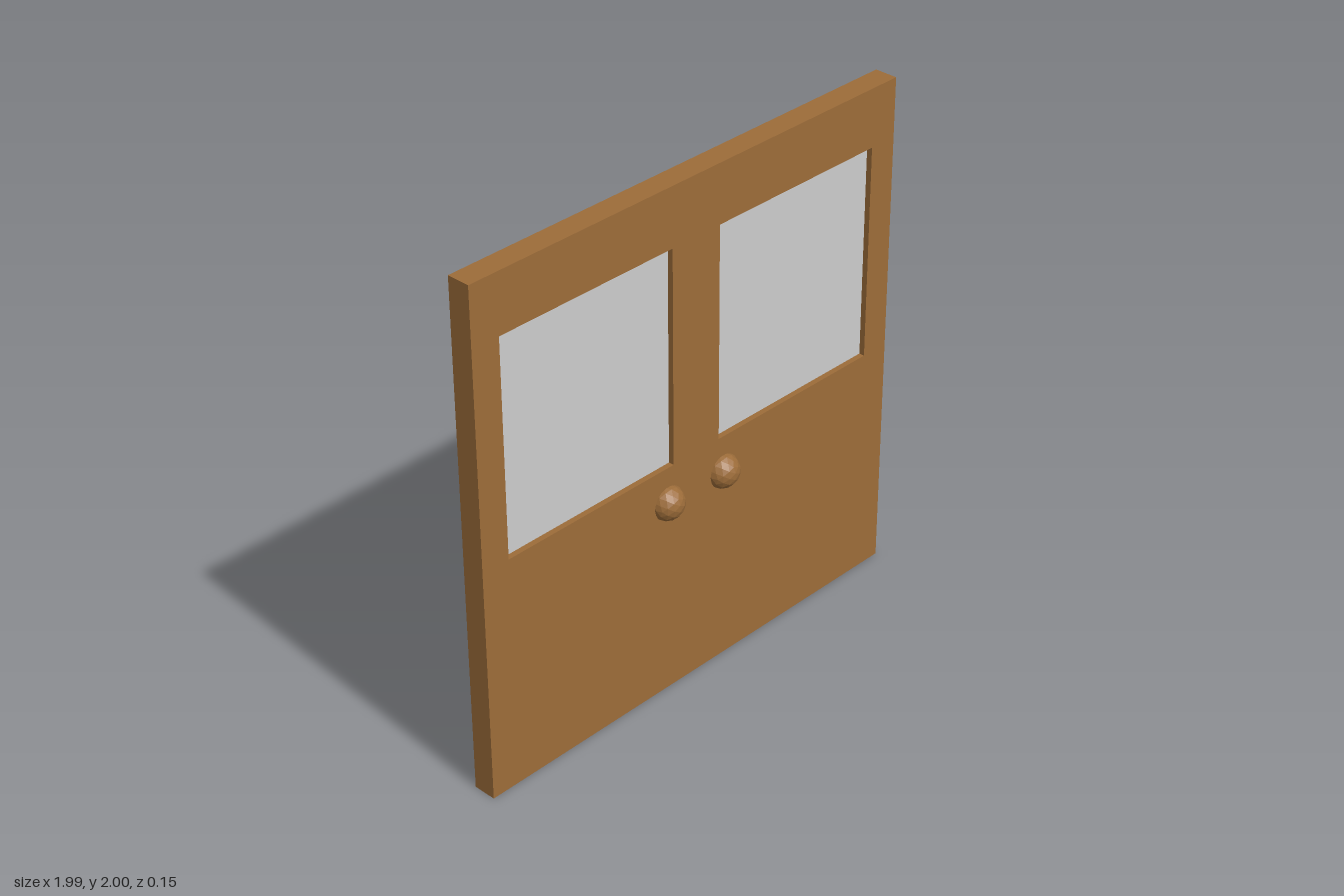
import * as THREE from 'three';

export function createModel() {
  const model = new THREE.Group();
  const wood = new THREE.MeshStandardMaterial({ color: 0x9c6c39, flatShading: true });
  const glass = new THREE.MeshStandardMaterial({ color: 0xcccccc });

  const add = (name, geometry, material, x, y, z) => {
    const mesh = new THREE.Mesh(geometry, material);
    mesh.name = name;
    mesh.position.set(x, y, z);
    model.add(mesh);
  };

  const rect = (path, x0, y0, x1, y1) =>
    path.moveTo(x0, y0).lineTo(x1, y0).lineTo(x1, y1).lineTo(x0, y1).closePath();

  // Door slab with two window openings
  const halfWidth = 0.995, height = 2, depth = 0.09, backZ = -0.074;
  const win = { inner: 0.112, outer: 0.88, bottom: 0.933, top: 1.772 };
  const slab = rect(new THREE.Shape(), -halfWidth, 0, halfWidth, height);
  slab.holes.push(
    rect(new THREE.Path(), win.inner, win.bottom, win.outer, win.top),
    rect(new THREE.Path(), -win.outer, win.bottom, -win.inner, win.top),
  );
  add('doorPanel', new THREE.ExtrudeGeometry(slab, { depth, bevelEnabled: false }), wood, 0, 0, backZ);

  // Mirrored window panes, recessed on both faces, and round knobs on the front
  const paneGeometry = new THREE.BoxGeometry(win.outer - win.inner, win.top - win.bottom, 0.046);
  const knobGeometry = new THREE.IcosahedronGeometry(0.067, 2);
  for (const [side, sign] of [['left', 1], ['right', -1]]) {
    add(side + 'WindowPane', paneGeometry, glass,
      sign * (win.inner + win.outer) / 2, (win.bottom + win.top) / 2, backZ + depth / 2);
    add(side + 'Knob', knobGeometry, wood, sign * 0.138, 0.79, 0.007);
  }

  return model;
}
